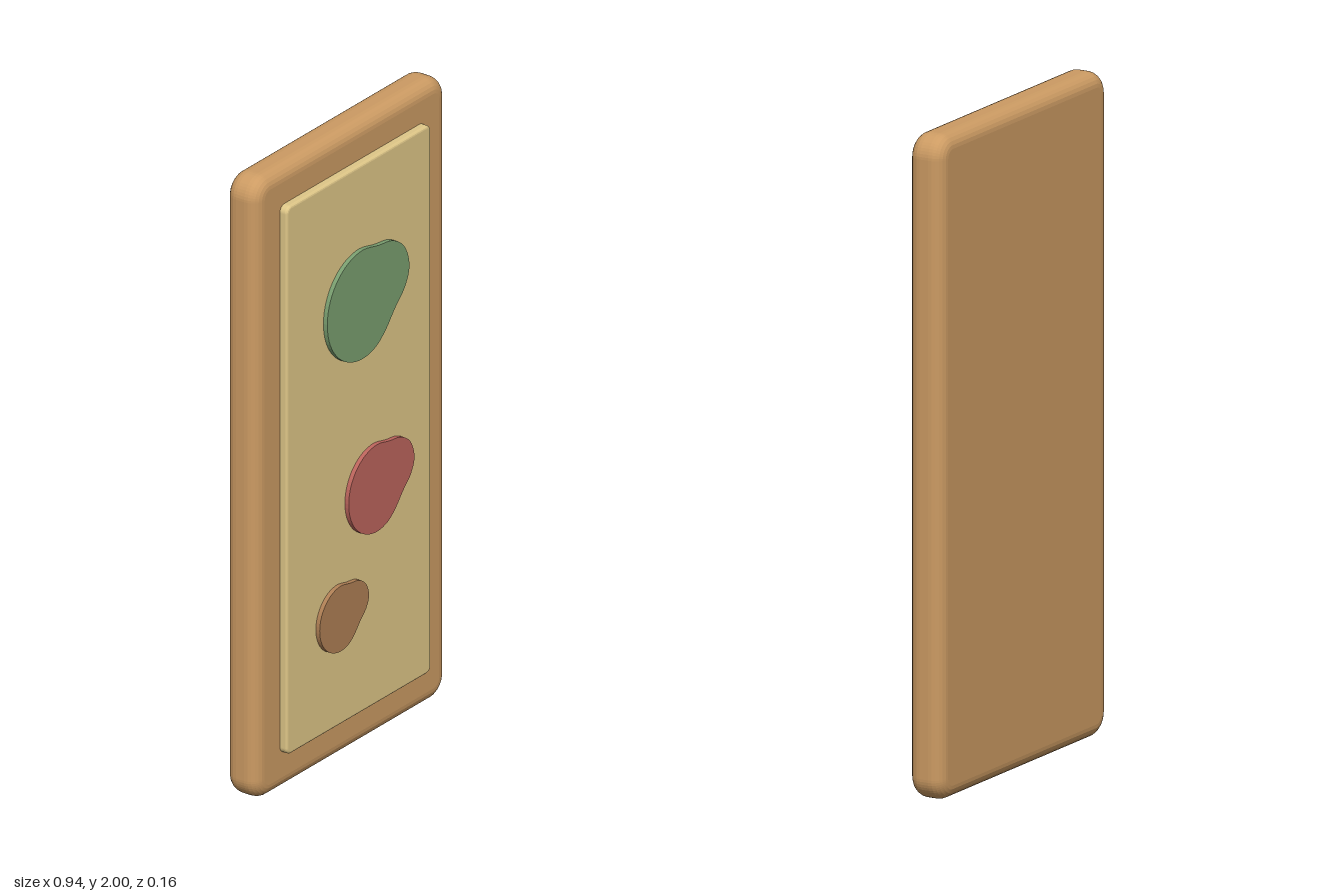
import * as THREE from 'three';

// Rectangle outline with rounded corners, centred on x = 0
function roundedRect(halfW, y0, y1, r) {
  const s = new THREE.Shape();
  s.absarc(halfW - r, y1 - r, r, 0, Math.PI / 2);
  s.absarc(-halfW + r, y1 - r, r, Math.PI / 2, Math.PI);
  s.absarc(-halfW + r, y0 + r, r, Math.PI, Math.PI * 1.5);
  s.absarc(halfW - r, y0 + r, r, Math.PI * 1.5, Math.PI * 2);
  s.closePath();
  return s;
}

// Slab from z0 to z1 with rounded edges; corner is the outer corner radius
function slab(name, color, halfW, y0, y1, z0, z1, corner, bevel, steps) {
  const shape = roundedRect(halfW - bevel, y0 + bevel, y1 - bevel, corner - bevel);
  const geo = new THREE.ExtrudeGeometry(shape, {
    depth: z1 - z0 - 2 * bevel, bevelEnabled: true, bevelSize: bevel,
    bevelThickness: bevel, bevelSegments: steps, curveSegments: 6,
  });
  geo.translate(0, 0, z0 + bevel);
  return part(name, color, geo);
}

function part(name, color, geo) {
  const mesh = new THREE.Mesh(geo, new THREE.MeshStandardMaterial({ color }));
  mesh.name = name;
  return mesh;
}

// Pebble outline: round on the left, with a smaller lobe at the upper right
function pebbleShape(r) {
  const pts = [];
  for (let i = 0; i <= 8; i++) {
    const a = Math.PI / 2 + (i / 8) * Math.PI;
    pts.push([Math.cos(a), Math.sin(a)]);
  }
  pts.push([0.36, -0.92], [0.62, -0.73], [0.9, -0.41], [1.18, -0.12],
    [1.3, 0.22], [1.16, 0.62], [0.84, 0.85], [0.42, 0.92]);
  const curve = new THREE.CatmullRomCurve3(
    pts.map(([x, y]) => new THREE.Vector3(x * r, y * r, 0)), true);
  return new THREE.Shape(curve.getPoints(64).slice(0, -1).map(p => new THREE.Vector2(p.x, p.y)));
}

export function createModel() {
  const model = new THREE.Group();
  model.name = 'framedPanel';

  // Wooden backing board and raised panel
  model.add(slab('frameBoard', 0xcc9b63, 0.47, 0, 2, -0.078, 0.037, 0.07, 0.043, 6));
  model.add(slab('raisedPanel', 0xdfc788, 0.353, 0.123, 1.886, 0, 0.063, 0.022, 0.008, 3));

  // Flat pebbles on the panel: name, colour, centre x, centre y, radius
  const pebbles = [
    ['largePebble', 0x7a9f70, 0, 1.445, 0.175],
    ['mediumPebble', 0xbd655d, 0.07, 0.827, 0.14],
    ['smallPebble', 0xb08055, -0.107, 0.475, 0.105],
  ];
  for (const [name, color, x, y, r] of pebbles) {
    const geo = new THREE.ExtrudeGeometry(pebbleShape(r), { depth: 0.027, bevelEnabled: false });
    const pebble = part(name, color, geo);
    pebble.position.set(x, y, 0.05);
    model.add(pebble);
  }
  return model;
}
